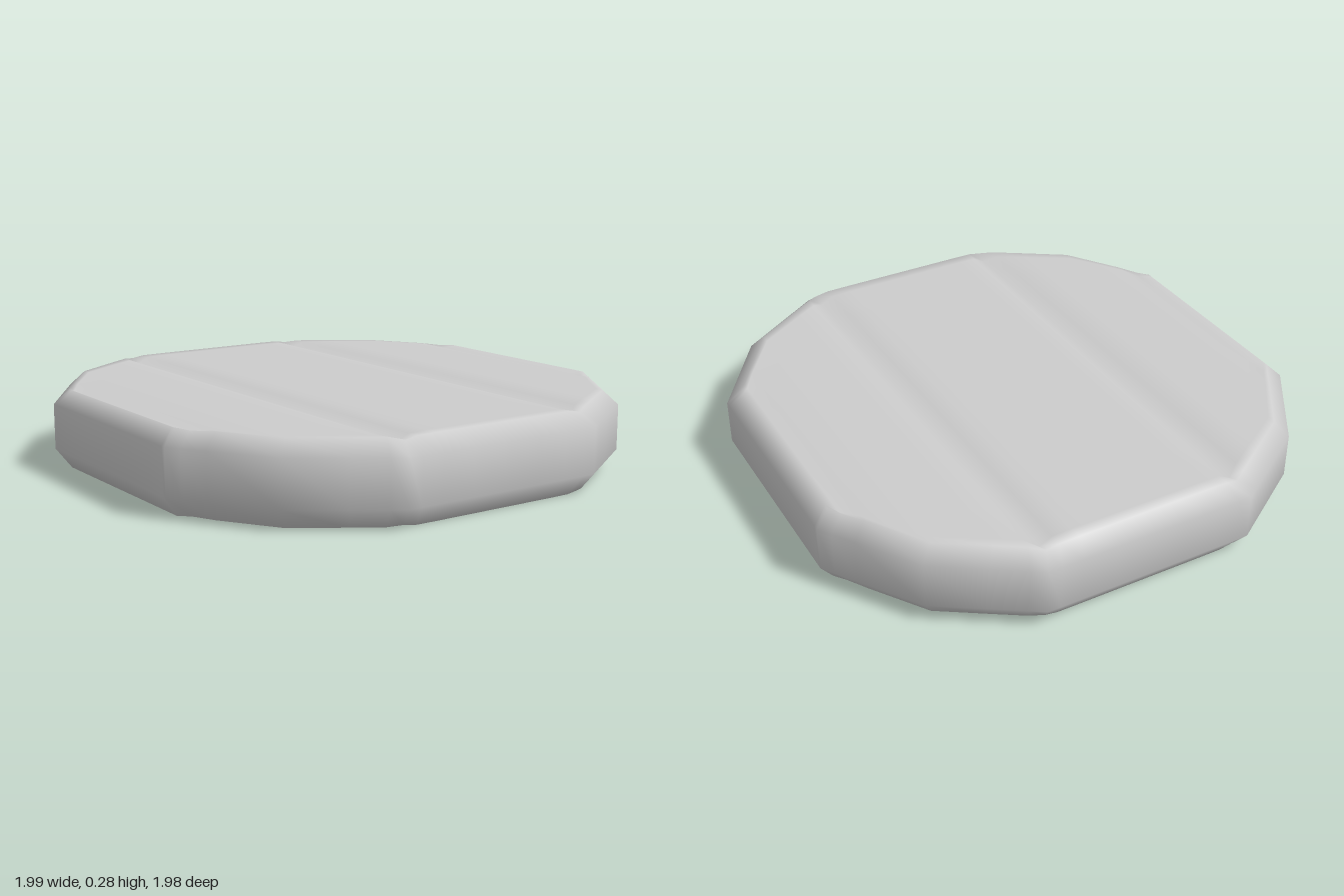
import * as THREE from 'three';

// Half width of the twelve-sided outline, along the boards, at distance v from the centre line
const OUTLINE = [[0, 0.94], [0.38, 0.94], [0.7, 0.728], [0.914, 0.405]];
const INSET = 0.945; // face outline relative to the rim
const HEIGHT = 0.28, BEVEL = 0.05;

function halfWidth(v) {
  const a = Math.abs(v);
  for (let i = 1; i < OUTLINE.length; i++) {
    const [v0, w0] = OUTLINE[i - 1], [v1, w1] = OUTLINE[i];
    if (a <= v1 + 1e-6) return w0 + (w1 - w0) * (a - v0) / (v1 - v0);
  }
  return OUTLINE[OUTLINE.length - 1][1];
}

// Rows across the boards: [distance from centre line, groove depth]
const HALF_ROWS = [[0.12, 0], [0.24, 0], [0.315, 0.002], [0.36, 0.026], [0.405, 0.002],
  [0.5, 0], [0.6615, 0], [0.79, 0], [0.835, 0.012], [0.914 * INSET, 0]];
const ROWS = [...HALF_ROWS.map(([v, d]) => [-v, d]).reverse(), [0, 0], ...HALF_ROWS];
const COLS = [-1, -0.95, -0.75, -0.4, 0, 0.4, 0.75, 0.95, 1];

function lidGeometry() {
  const pos = [], index = [];
  const nr = ROWS.length, nc = COLS.length;
  const at = (r, c) => r * nc + c;

  // Grooved top and bottom faces
  for (const side of [1, -1]) {
    const base = pos.length / 3;
    ROWS.forEach(([v, depth]) => {
      const w = halfWidth(v / INSET) * INSET;
      COLS.forEach((t) => {
        const dip = Math.abs(t) === 1 ? depth * 0.3 : depth;
        pos.push(t * w, HEIGHT / 2 + side * (HEIGHT / 2 - dip), v);
      });
    });
    for (let r = 0; r < nr - 1; r++) {
      for (let c = 0; c < nc - 1; c++) {
        const [a, b, d, e] = [at(r, c), at(r + 1, c), at(r, c + 1), at(r + 1, c + 1)].map((i) => i + base);
        if (side > 0) index.push(a, b, d, d, b, e);
        else index.push(a, d, b, d, e, b);
      }
    }
  }

  // Edge loop shared by the faces and the rim
  const loop = [];
  for (let c = 0; c < nc - 1; c++) loop.push(at(0, c));
  for (let r = 0; r < nr - 1; r++) loop.push(at(r, nc - 1));
  for (let c = nc - 1; c > 0; c--) loop.push(at(nr - 1, c));
  for (let r = nr - 1; r > 0; r--) loop.push(at(r, 0));

  // Bevelled rim
  const rings = [loop];
  for (const y of [HEIGHT - BEVEL, BEVEL + 0.02]) {
    rings.push(loop.map((i) => {
      pos.push(pos[i * 3] / INSET, y, pos[i * 3 + 2] / INSET);
      return pos.length / 3 - 1;
    }));
  }
  rings.push(loop.map((i) => i + nr * nc));
  for (let k = 0; k < rings.length - 1; k++) {
    const up = rings[k], low = rings[k + 1];
    for (let i = 0; i < loop.length; i++) {
      const j = (i + 1) % loop.length;
      index.push(up[i], up[j], low[i], up[j], low[j], low[i]);
    }
  }

  const geo = new THREE.BufferGeometry();
  geo.setAttribute('position', new THREE.Float32BufferAttribute(pos, 3));
  geo.setIndex(index);
  geo.computeVertexNormals();
  return geo;
}

export function createModel() {
  const group = new THREE.Group();
  group.name = 'plankLid';
  const grey = new THREE.MeshStandardMaterial({ color: 0xcccccc });
  grey.name = 'plain grey';
  const lid = new THREE.Mesh(lidGeometry(), grey);
  lid.name = 'grooved lid';
  lid.rotation.y = THREE.MathUtils.degToRad(-34.2); // boards run diagonally
  group.add(lid);
  return group;
}
